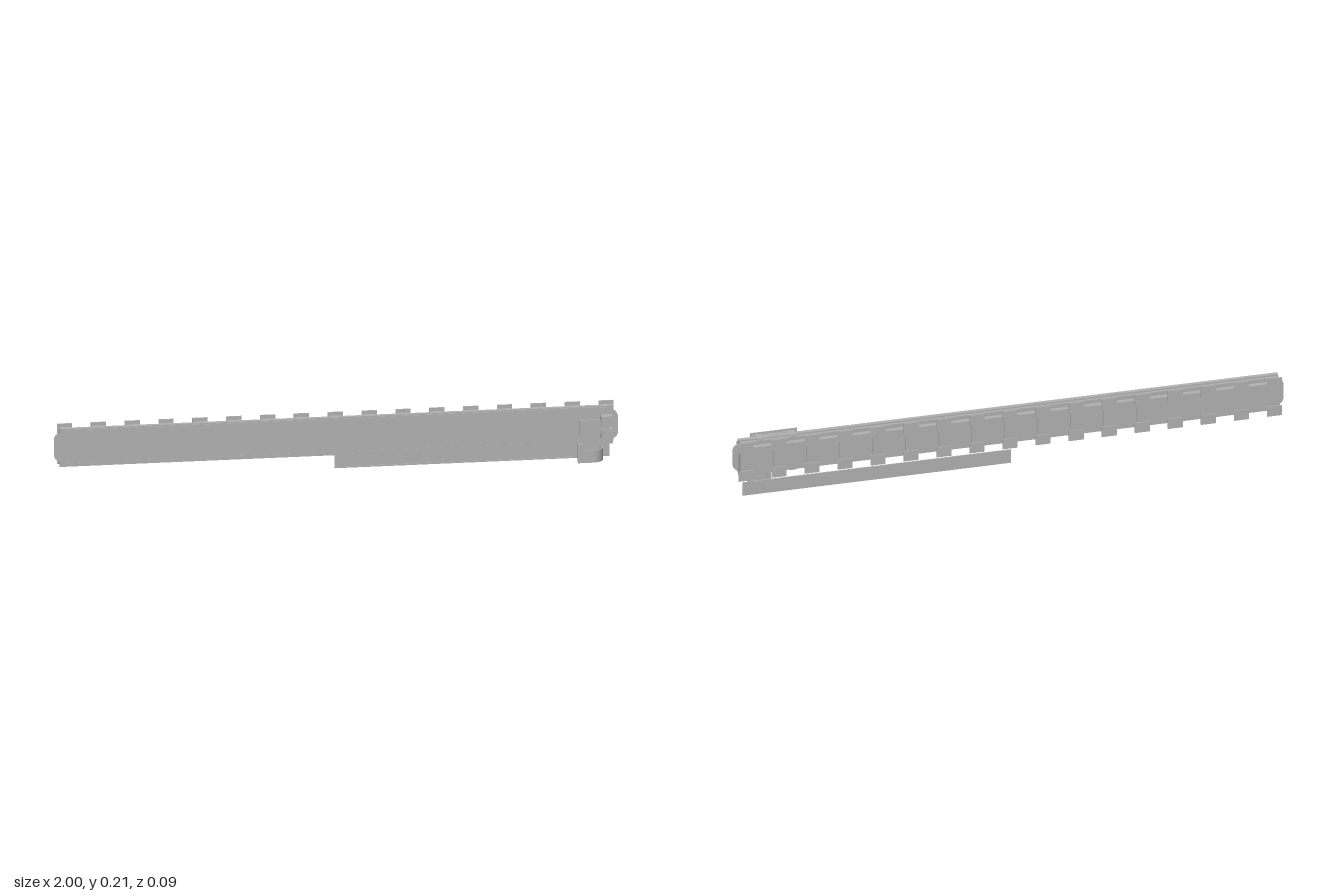
import * as THREE from 'three';

export function createModel() {
  const model = new THREE.Group();
  const grey = new THREE.MeshStandardMaterial({ color: 0xb2b2b2 });
  grey.name = 'metal grey';

  const add = (name, geometry, parent = model) => {
    const mesh = new THREE.Mesh(geometry, grey);
    mesh.name = name;
    parent.add(mesh);
    return mesh;
  };
  // Box given by its limits on each axis
  const box = (name, x0, x1, y0, y1, z0, z1, parent) => {
    const g = new THREE.BoxGeometry(x1 - x0, y1 - y0, z1 - z0);
    g.translate((x0 + x1) / 2, (y0 + y1) / 2, (z0 + z1) / 2);
    return add(name, g, parent);
  };

  // Long beam: rear box, front cover and upper and lower flanges
  box('beamBody', -0.98, 0.98, 0.082, 0.181, -0.034, -0.003);
  box('frontCover', -0.98, 0.98, 0.082, 0.181, 0.008, 0.013);
  for (const side of [1, -1]) {
    const rail = (name, d0, d1, z0, z1) => {
      const a = 0.1315 + side * d0, b = 0.1315 + side * d1;
      box(name, -0.98, 0.98, Math.min(a, b), Math.max(a, b), z0, z1);
    };
    rail('flange', 0.0495, 0.064, -0.016, 0.013);
    rail('flangeLip', 0.055, 0.067, 0.011, 0.014);
    rail('flangeRidge', 0.064, 0.07, -0.007, 0.007);
  }

  // Thin belt whose rounded ends show beyond the beam
  const belt = new THREE.Shape();
  belt.moveTo(-0.975, 0.078);
  belt.quadraticCurveTo(-1, 0.082, -1, 0.11);
  belt.lineTo(-1, 0.153);
  belt.quadraticCurveTo(-1, 0.182, -0.975, 0.186);
  belt.lineTo(0.975, 0.186);
  belt.quadraticCurveTo(1, 0.182, 1, 0.153);
  belt.lineTo(1, 0.11);
  belt.quadraticCurveTo(1, 0.082, 0.975, 0.078);
  const beltGeo = new THREE.ExtrudeGeometry(belt, { depth: 0.01, bevelEnabled: false, curveSegments: 8 });
  beltGeo.translate(0, 0, -0.005);
  add('belt', beltGeo);

  // Seventeen wall brackets along the back
  for (let i = 0; i < 17; i++) {
    const bracket = new THREE.Group();
    bracket.name = 'wallBracket';
    bracket.position.x = -0.957 + i * 0.12;
    box('bracketWeb', -0.02, 0.02, 0.08, 0.193, -0.039, -0.032, bracket);
    box('upperTab', -0.027, 0.027, 0.167, 0.206, -0.043, -0.039, bracket);
    box('lowerTab', -0.027, 0.027, 0.057, 0.096, -0.043, -0.039, bracket);
    model.add(bracket);
  }

  // Carriage: front plate with arms hooking over the flanges
  const carriage = new THREE.Group();
  carriage.name = 'carriage';
  box('carriagePlate', 0.76, 0.93, 0.057, 0.206, 0.025, 0.029, carriage);
  for (const [y0, y1] of [[0.182, 0.2], [0.063, 0.081]]) {
    for (const x of [0.785, 0.9]) {
      box('slideArm', x - 0.013, x + 0.013, y0, y1, -0.014, 0.026, carriage);
    }
    box('slideBar', 0.77, 0.925, y0, y1, 0.014, 0.022, carriage);
  }
  box('upperClamp', 0.935, 0.975, 0.14, 0.173, 0.014, 0.043, carriage);
  box('lowerClamp', 0.935, 0.975, 0.092, 0.125, 0.014, 0.043, carriage);
  box('clampLink', 0.94, 0.965, 0.125, 0.14, 0.02, 0.039, carriage);
  box('clampArm', 0.86, 0.945, 0.105, 0.16, 0.029, 0.034, carriage);
  box('chainBracket', 0.853, 0.87, 0.005, 0.072, 0.029, 0.043, carriage);
  model.add(carriage);

  // Cable chain: long strip along the back bending round to the carriage
  const chain = new THREE.Shape();
  const cx = 0.905, cz = 0.001, outer = 0.042, inner = 0.036;
  chain.moveTo(0, cz - outer);
  chain.lineTo(cx, cz - outer);
  chain.absarc(cx, cz, outer, -Math.PI / 2, Math.PI / 2, false);
  chain.lineTo(0.855, cz + outer);
  chain.lineTo(0.855, cz + inner);
  chain.lineTo(cx, cz + inner);
  chain.absarc(cx, cz, inner, Math.PI / 2, -Math.PI / 2, true);
  chain.lineTo(0, cz - inner);
  chain.closePath();
  const chainGeo = new THREE.ExtrudeGeometry(chain, { depth: 0.045, bevelEnabled: false, curveSegments: 28 });
  chainGeo.rotateX(Math.PI / 2);
  chainGeo.translate(0, 0.05, 0);
  add('cableChain', chainGeo);

  // Tray plate behind the chain
  box('chainTray', 0, 0.975, 0, 0.052, -0.043, -0.04);
  box('chainTrayLip', 0, 0.94, 0, 0.005, -0.041, -0.032);

  return model;
}
